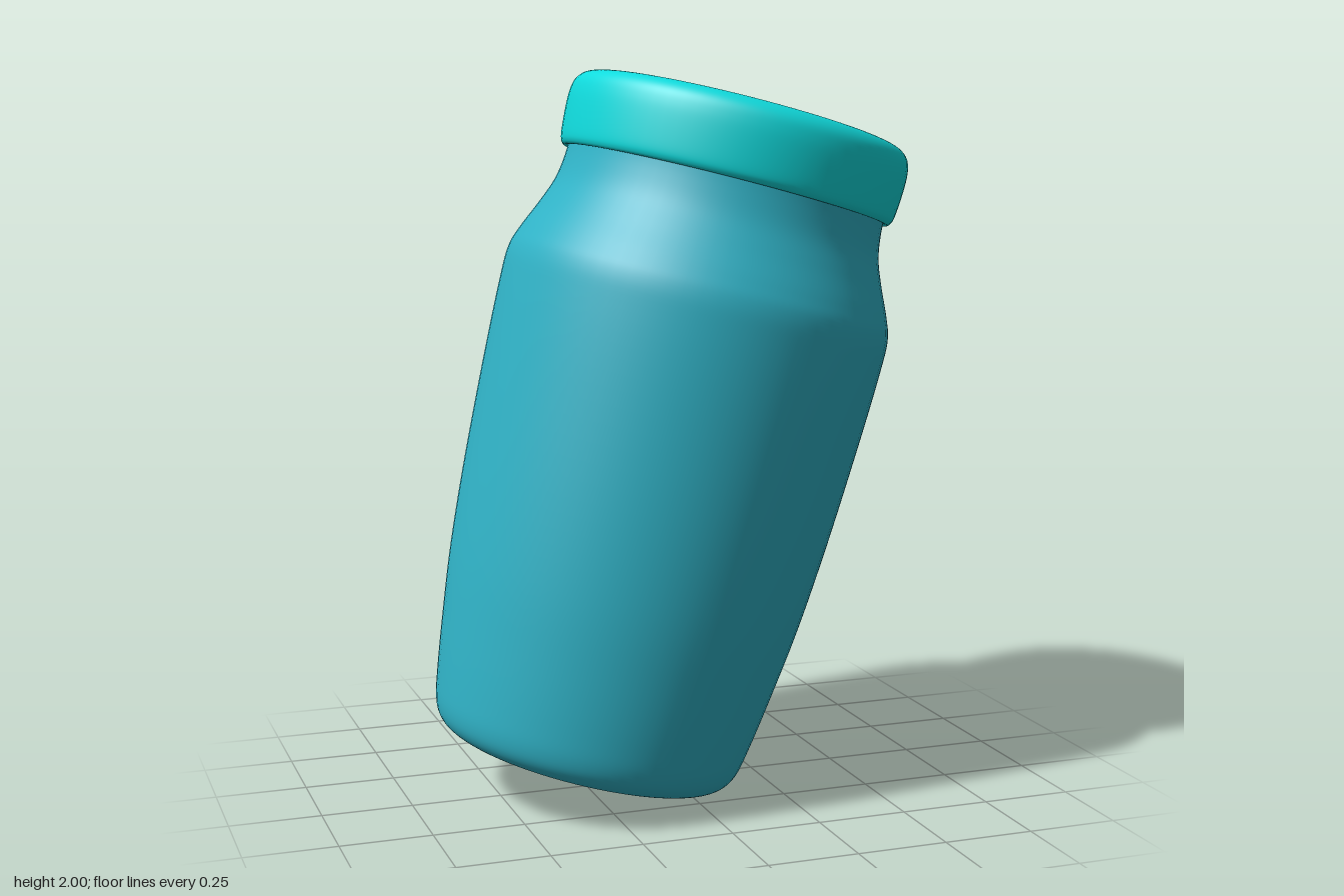
import * as THREE from 'three';

const jarColor = new THREE.MeshStandardMaterial({ color: 0x30b2c6 });
jarColor.name = 'blue teal jar';
const lidColor = new THREE.MeshStandardMaterial({ color: 0x10dadc });
lidColor.name = 'bright turquoise lid';

// Smooth lathe: straight caps at both ends, a spline through the wall points
function turned(name, wall, material, divisions) {
  const pts = wall.map(([r, y]) => new THREE.Vector2(r, y));
  const curve = new THREE.SplineCurve(pts).getPoints(divisions);
  const profile = [
    new THREE.Vector2(0, pts[0].y),
    ...curve,
    new THREE.Vector2(0, pts[pts.length - 1].y),
  ];
  const mesh = new THREE.Mesh(new THREE.LatheGeometry(profile, 72), material);
  mesh.name = name;
  return mesh;
}

export function createModel() {
  const model = new THREE.Group();
  model.name = 'leaningJar';

  // Everything is turned about one axis, which then leans to +x
  const jar = new THREE.Group();
  jar.name = 'jar';

  // Body: rounded base, gently widening wall, shoulder and neck
  jar.add(turned('body', [
    [0.33, 0], [0.375, 0.005], [0.413, 0.027], [0.437, 0.07], [0.453, 0.15],
    [0.475, 0.3], [0.5, 0.5], [0.52, 0.75], [0.536, 1.05], [0.543, 1.25],
    [0.541, 1.34], [0.522, 1.4], [0.487, 1.48], [0.461, 1.55], [0.45, 1.62],
    [0.448, 1.69],
  ], jarColor, 90));

  // Lid: short drum with soft rims
  jar.add(turned('lid', [
    [0.44, 1.652], [0.456, 1.645], [0.468, 1.652], [0.475, 1.675],
    [0.48, 1.74], [0.48, 1.79], [0.473, 1.824], [0.455, 1.846],
    [0.43, 1.856], [0.4, 1.858],
  ], lidColor, 60));

  jar.rotation.z = -THREE.MathUtils.degToRad(15);
  jar.position.set(-0.263, 0.097, 0);
  model.add(jar);
  return model;
}
